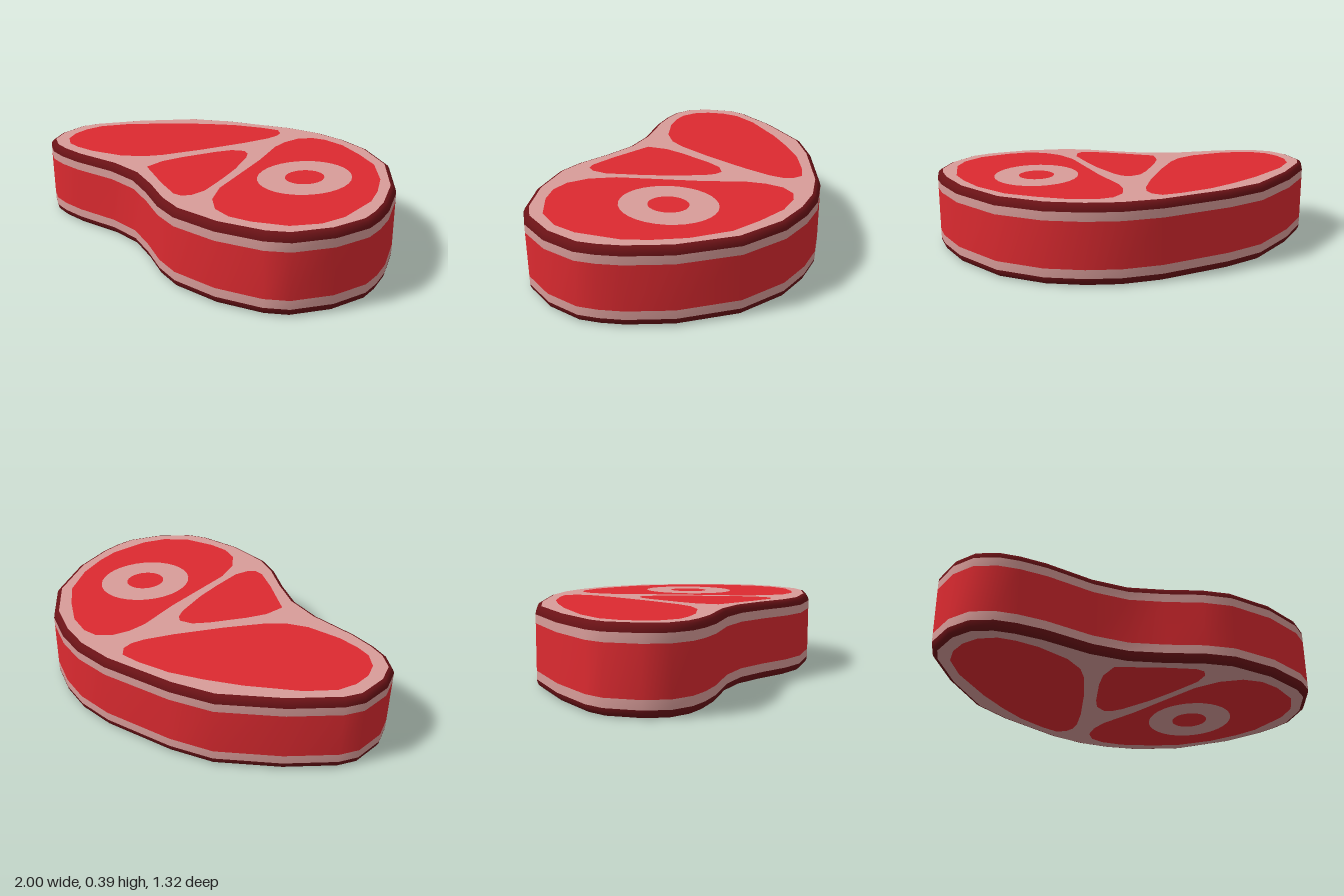
import * as THREE from 'three';

const RED = 0xdc2a30, FAT = 0xd89c99, CRUST = 0x6a1216;
const HEIGHT = 0.39;

const toPoints = (a) => a.map(([x, z]) => new THREE.Vector2(x, z));

// Slab outline in (x, z), clockwise seen from above
const outline = toPoints([
  [0.03, -0.655], [0.2, -0.663], [0.39, -0.635], [0.62, -0.525], [0.83, -0.305], [0.94, -0.11], [0.98, 0],
  [1, 0.1], [0.97, 0.28], [0.88, 0.455], [0.79, 0.53], [0.58, 0.62], [0.345, 0.658], [0.2, 0.635],
  [0.03, 0.575], [-0.14, 0.53], [-0.32, 0.535], [-0.56, 0.59], [-0.69, 0.602], [-0.79, 0.595], [-0.89, 0.55],
  [-0.96, 0.45], [-1, 0.29], [-0.98, 0.19], [-0.86, -0.04], [-0.67, -0.3], [-0.49, -0.43], [-0.16, -0.6],
]);

// Lean meat areas on both faces
const longMuscle = toPoints([
  [-0.16, -0.5], [-0.11, -0.47], [-0.09, -0.42], [-0.09, -0.35], [-0.12, -0.2], [-0.19, 0.05], [-0.26, 0.25],
  [-0.31, 0.34], [-0.4, 0.42], [-0.56, 0.49], [-0.67, 0.512], [-0.75, 0.512], [-0.83, 0.47], [-0.88, 0.4],
  [-0.905, 0.31], [-0.9, 0.21], [-0.83, 0.07], [-0.66, -0.14], [-0.53, -0.27], [-0.4, -0.38], [-0.25, -0.465],
]);
const middleMuscle = toPoints([
  [-0.02, -0.11], [0.02, -0.095], [0.06, -0.05], [0.15, 0.11], [0.21, 0.25], [0.27, 0.41], [0.27, 0.49],
  [0.245, 0.53], [0.2, 0.54], [0.055, 0.5], [-0.17, 0.42], [-0.185, 0.31], [-0.165, 0.2], [-0.11, 0.01],
  [-0.075, -0.07],
]);
const roundMuscle = toPoints([
  [0.14, -0.57], [0.265, -0.57], [0.425, -0.52], [0.575, -0.455], [0.725, -0.315], [0.815, -0.18],
  [0.87, -0.065], [0.905, 0.155], [0.885, 0.28], [0.81, 0.4], [0.67, 0.49], [0.565, 0.525], [0.465, 0.515],
  [0.37, 0.45], [0.29, 0.335], [0.205, 0.11], [0.135, -0.075], [0.04, -0.28], [0.02, -0.375], [0.025, -0.47],
  [0.07, -0.54],
]);
const ellipse = (rx, rz) => new THREE.EllipseCurve(0.46, -0.065, rx, rz).getPoints(32).slice(0, -1);
const boneOuter = ellipse(0.215, 0.247);
const boneInner = ellipse(0.09, 0.102);

// Outline moved inwards by d
function inset(d) {
  const n = outline.length;
  return outline.map((p, i) => {
    const t = outline[(i + 1) % n].clone().sub(outline[(i + n - 1) % n]).normalize();
    return new THREE.Vector2(p.x - t.y * d, p.y + t.x * d);
  });
}

function mesh(name, geometry, color) {
  const m = new THREE.Mesh(geometry, new THREE.MeshStandardMaterial({ color }));
  m.name = name;
  return m;
}

// Closed side band through [inset, y] rows, listed upwards
function band(name, rows, color) {
  const n = outline.length, pos = [], index = [];
  for (const [d, y] of rows) for (const p of inset(d)) pos.push(p.x, y, p.y);
  for (let r = 0; r < rows.length - 1; r++) {
    for (let i = 0; i < n; i++) {
      const a = r * n + i, b = r * n + (i + 1) % n;
      index.push(a, a + n, b, b, a + n, b + n);
    }
  }
  const g = new THREE.BufferGeometry();
  g.setAttribute('position', new THREE.Float32BufferAttribute(pos, 3));
  g.setIndex(index);
  g.computeVertexNormals();
  return mesh(name, g, color);
}

// Flat area facing up (side 1) or down (side -1)
function area(name, points, holes, color, side) {
  const flip = (pts) => pts.map((p) => new THREE.Vector2(p.x, -side * p.y));
  const shape = new THREE.Shape(flip(points));
  shape.holes = holes.map((h) => new THREE.Path(flip(h)));
  const g = new THREE.ShapeGeometry(shape);
  g.rotateX(-side * Math.PI / 2);
  g.translate(0, side > 0 ? HEIGHT : 0, 0);
  return mesh(name, g, color);
}

export function createModel() {
  const group = new THREE.Group();
  group.name = 'steak';

  // Side bands
  const rim = [[0, 0.352], [0.002, 0.366], [0.009, 0.38], [0.018, 0.387], [0.028, HEIGHT]];
  const mirrored = rim.map(([d, y]) => [d, HEIGHT - y]).reverse();
  group.add(
    band('lowerCrust', mirrored, CRUST),
    band('lowerFatBand', [[0, 0.038], [0, 0.081]], FAT),
    band('meatBand', [[0, 0.081], [0, 0.309]], RED),
    band('upperFatBand', [[0, 0.309], [0, 0.352]], FAT),
    band('upperCrust', rim, CRUST),
  );

  // Cut faces, the same on top and bottom
  for (const side of [1, -1]) {
    const face = new THREE.Group();
    face.name = side > 0 ? 'topFace' : 'bottomFace';
    face.add(
      area('fat', inset(0.028), [longMuscle, middleMuscle, roundMuscle], FAT, side),
      area('longMuscle', longMuscle, [], RED, side),
      area('middleMuscle', middleMuscle, [], RED, side),
      area('roundMuscle', roundMuscle, [boneOuter], RED, side),
      area('boneRing', boneOuter, [boneInner], FAT, side),
      area('marrow', boneInner, [], RED, side),
    );
    group.add(face);
  }
  return group;
}
